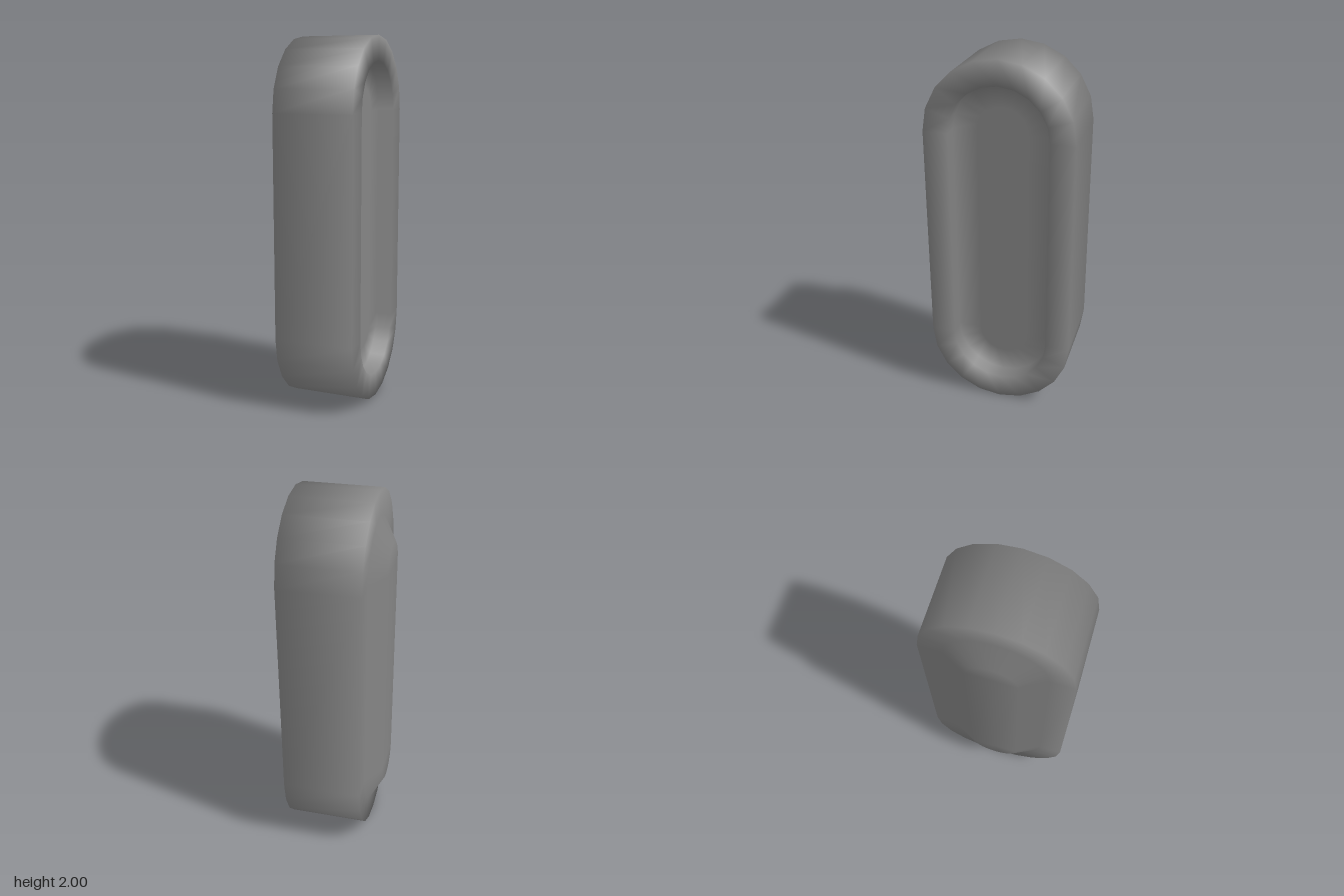
import * as THREE from 'three';

const HALF_LENGTH = 0.6; // distance from the middle to each arc centre
const ARC_STEPS = 10;

// Profile of the whole shell as [radius, x], from the back centre to the recess centre
const PROFILE = [
  [0, -0.254], [0.135, -0.254], [0.267, -0.18], // raised plateau
  [0.4, -0.18], [0.4, 0.254], // outer wall
  [0.267, 0.254], [0.267, 0.168], // rim and inner wall
  [0.135, 0.168], [0, 0.168], // recessed floor
];

// Unit normal of each profile segment as (x, radial)
const segmentNormals = PROFILE.slice(1).map(([r, x], i) =>
  new THREE.Vector2(PROFILE[i][0] - r, x - PROFILE[i][1]).normalize());

// Sweeps the profile around a stadium outline, with soft shading over every edge
function sweepStadium() {
  const positions = [], normals = [], index = [];
  const count = 2 * (ARC_STEPS + 1);
  const last = PROFILE.length - 1;

  PROFILE.forEach(([r, x], i) => {
    const before = segmentNormals[Math.max(i - 1, 0)];
    const after = segmentNormals[Math.min(i, last - 1)];
    const n = before.clone().add(after).normalize();
    for (let j = 0; j < count; j++) {
      const end = j > ARC_STEPS ? 1 : 0;
      const t = Math.PI * (j - end) / ARC_STEPS;
      const centre = 1 + (end ? -HALF_LENGTH : HALF_LENGTH);
      positions.push(x, centre + r * Math.sin(t), r * Math.cos(t));
      normals.push(n.x, n.y * Math.sin(t), n.y * Math.cos(t));
    }
  });

  for (let i = 0; i < last; i++) {
    for (let j = 0; j < count; j++) {
      const k = (j + 1) % count;
      const a = i * count + j, b = a + count;
      const d = i * count + k, c = d + count;
      index.push(a, b, c, a, c, d);
    }
  }

  const geometry = new THREE.BufferGeometry();
  geometry.setAttribute('position', new THREE.Float32BufferAttribute(positions, 3));
  geometry.setAttribute('normal', new THREE.Float32BufferAttribute(normals, 3));
  geometry.setIndex(index);
  return geometry;
}

export function createModel() {
  const group = new THREE.Group();
  group.name = 'capsuleHousing';

  const material = new THREE.MeshStandardMaterial({ color: 0x848484 });
  const shell = new THREE.Mesh(sweepStadium(), material);
  shell.name = 'shell';
  group.add(shell);

  return group;
}
